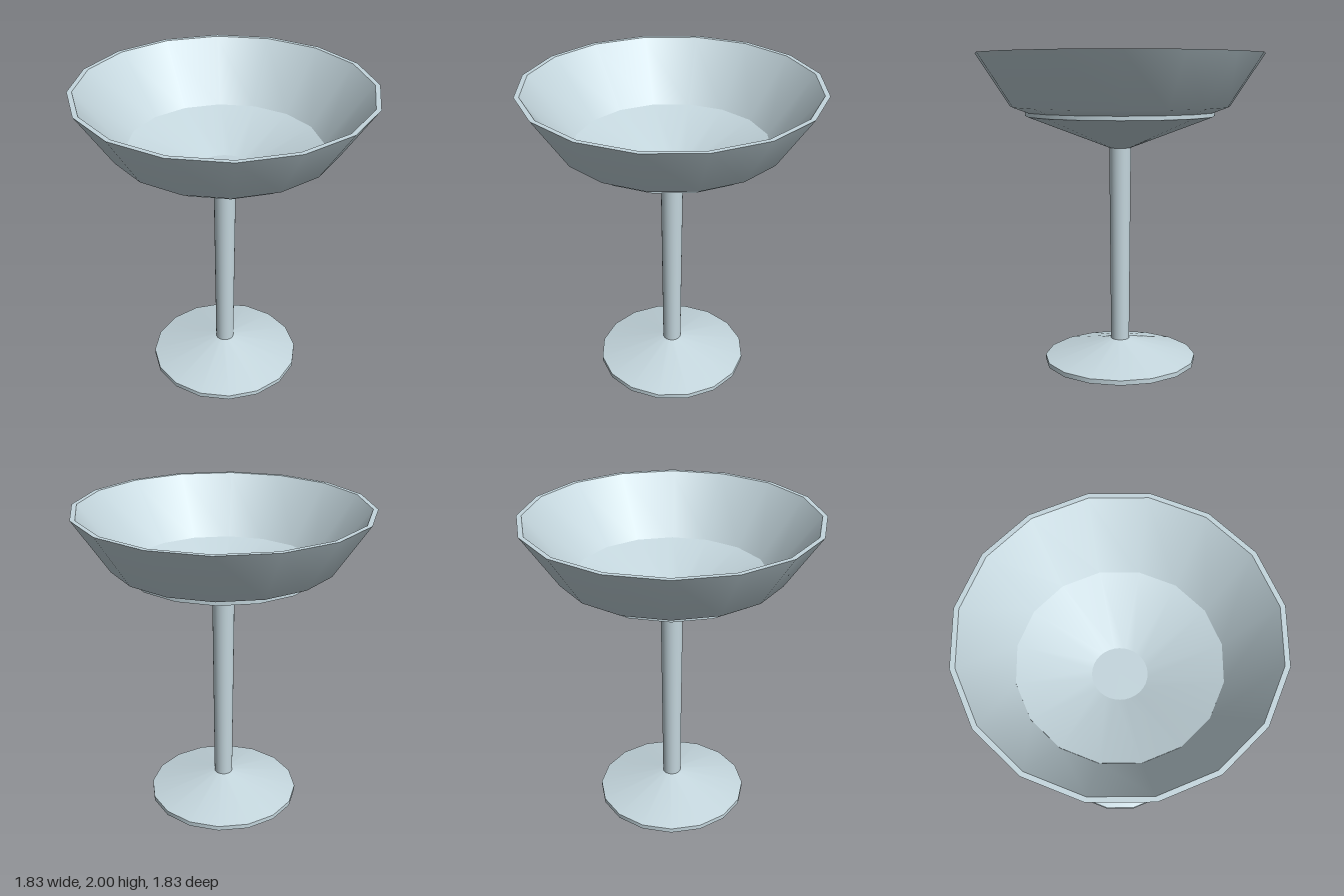
import * as THREE from 'three';

export function createModel() {
  const model = new THREE.Group();
  model.name = 'stemmedGlass';
  const glass = new THREE.MeshStandardMaterial({ color: 0xc4d6dd });
  glass.name = 'paleGlass';

  // Each band is its own lathe, so normals are smooth inside it and sharp between bands.
  // Profiles run up the outside and down the inside so every face points outward.
  const band = (name, points, sides = 16) => {
    const profile = points.map(([r, y]) => new THREE.Vector2(r, y));
    const mesh = new THREE.Mesh(new THREE.LatheGeometry(profile, sides), glass);
    mesh.name = name;
    model.add(mesh);
  };

  // Foot
  band('footUnderside', [[0, 0], [0.495, 0]]);
  band('footEdge', [[0.495, 0], [0.495, 0.03]]);
  band('footTop', [[0.495, 0.03], [0.06, 0.145]]);

  // Slightly tapered stem
  band('stem', [[0.06, 0.14], [0.07, 1.41]], 24);

  // Outside of the bowl
  band('bowlCone', [[0.065, 1.405], [0.605, 1.61]]);
  band('bowlCollar', [[0.605, 1.61], [0.605, 1.635]]);
  band('bowlOuterWall', [[0.605, 1.635], [0.7, 1.67], [0.915, 2]]);
  band('rim', [[0.915, 2], [0.885, 2]]);

  // Inside of the bowl
  band('bowlInnerWall', [[0.885, 2], [0.605, 1.63]]);
  band('bowlFloor', [[0.605, 1.63], [0.15, 1.469]]);
  band('bowlCentre', [[0.165, 1.478], [0, 1.478]], 32);

  return model;
}
